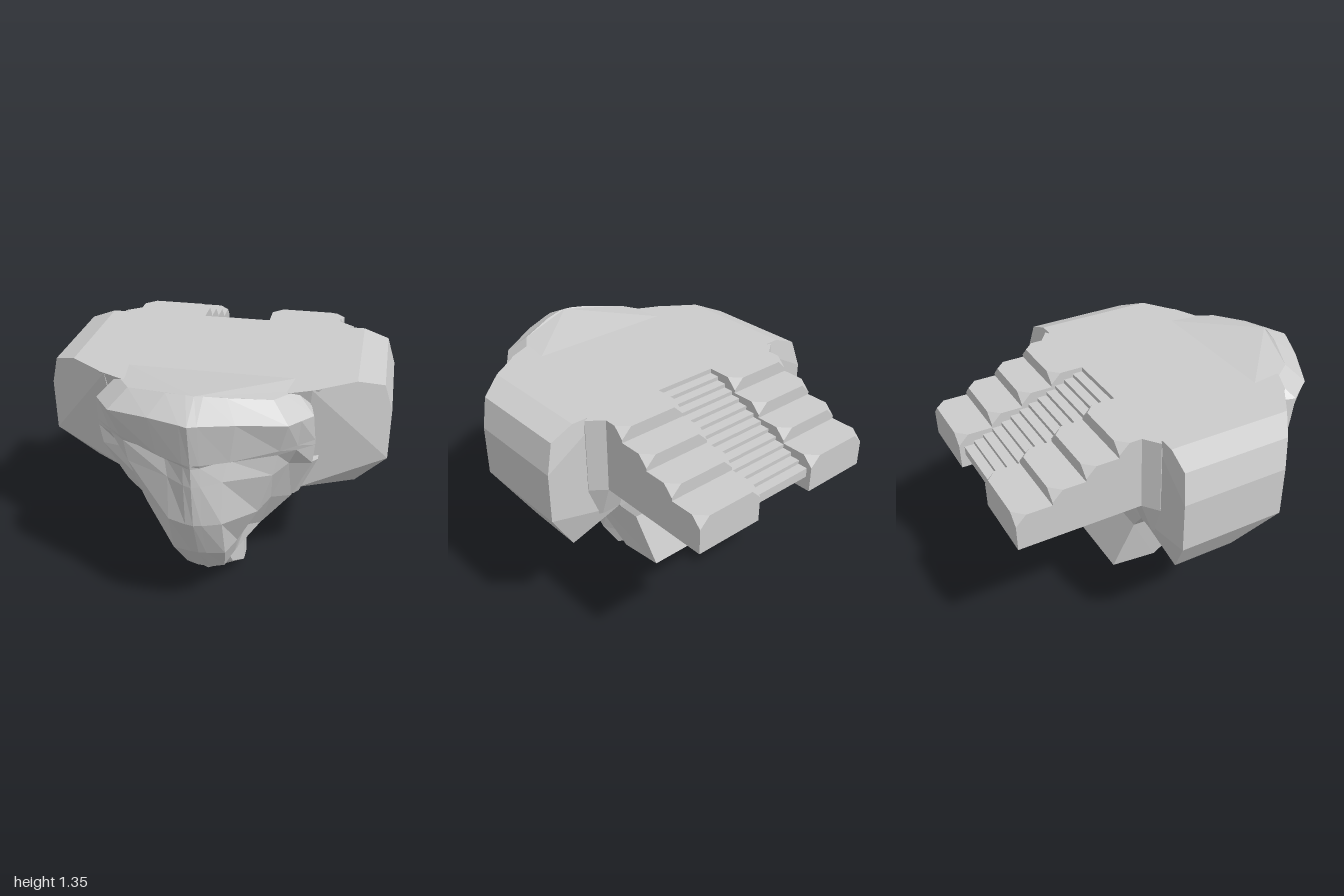
import * as THREE from 'three';
import { ConvexGeometry } from 'three/addons/geometries/ConvexGeometry.js';

const V = (x, y, z) => new THREE.Vector3(x, y, z);
const material = new THREE.MeshStandardMaterial({ color: 0xcccccc, flatShading: true });

// Skin between closed rings, listed top to bottom and counter-clockwise from above
function loft(rings) {
  const n = rings[0].length, last = (rings.length - 1) * n, index = [];
  for (let r = 0; r < rings.length - 1; r++) {
    for (let i = 0; i < n; i++) {
      const a = r * n + i, b = r * n + (i + 1) % n, c = b + n, d = a + n;
      index.push(a, d, c, a, c, b);
    }
  }
  for (let i = 1; i < n - 1; i++) {
    index.push(0, i, i + 1, last, last + i + 1, last + i);
  }
  const g = new THREE.BufferGeometry().setFromPoints(rings.flat());
  g.setIndex(index);
  const flat = g.toNonIndexed();
  flat.computeVertexNormals();
  return flat;
}

// Ring from a half outline (front centre first) mirrored across x
const mirrorRing = half => [
  ...half,
  ...half.slice().reverse().filter(p => p.x > 0).map(p => V(-p.x, p.y, p.z)),
];

export function createModel() {
  const model = new THREE.Group();
  model.name = 'carvedHeadPlatform';
  const body = new THREE.Group();
  body.name = 'body';
  body.rotation.y = -0.172;
  body.position.x = 0.01;
  model.add(body);

  const add = (name, geometry) => {
    const mesh = new THREE.Mesh(geometry, material);
    mesh.name = name;
    body.add(mesh);
    return mesh;
  };

  // Flat platform core; its back edge leaves a notch for the top stair
  const outline = [[0.62, -0.2], [0.62, 0.5], [0.53, 0.6], [0.4, 0.66]];
  const corePoints = [];
  for (const s of [-1, 1]) {
    for (const [x, z] of outline) {
      corePoints.push(V(s * x, 1.3, z), V(s * x * 0.9, 0.86, z > 0 ? z - 0.14 : z));
    }
  }
  add('platform', new ConvexGeometry(corePoints));

  // Faceted shoulders: one section swept in z, front end cut diagonally
  const section = [[0.5, 1.3], [0.7, 1.3], [0.83, 1.25], [0.875, 1.1], [0.875, 0.83], [0.72, 0.58], [0.45, 0.7]];
  for (const s of [-1, 1]) {
    const points = [];
    for (const [x, y] of section) {
      const low = Math.max(0, 0.83 - y), high = Math.max(0, y - 1.1);
      points.push(V(s * x, y, 0.36 + (0.875 - x) * 0.68 - low * 1.08));
      points.push(V(s * x, y, -0.215 + low * 0.25 + high * 0.15));
    }
    add(s > 0 ? 'leftShoulder' : 'rightShoulder', new ConvexGeometry(points));

    // Slanted fillet where the shoulder meets the stair block
    const fillet = [];
    for (const [y, z] of [[1.3, 0], [0.9, 0], [0.72, 0.06]]) {
      fillet.push(V(s * 0.45, y, -0.26 + z), V(s * 0.56, y, -0.26 + z), V(s * 0.64, y, -0.2 + z), V(s * 0.45, y, -0.12));
    }
    add('shoulderFillet', new ConvexGeometry(fillet));
  }

  // Neck: narrows downward, then flares to the rear [y, half width, front z, back z]
  const neck = [
    [0.9, 0.54, 0.58, -0.22],
    [0.68, 0.45, 0.54, -0.19],
    [0.53, 0.32, 0.37, -0.16],
    [0.23, 0.26, 0.03, -0.26],
  ].map(([y, w, f, b]) => mirrorRing([
    V(0, y, f), V(w * 0.95, y, f), V(w, y, f - 0.03), V(w * 0.97, y + 0.02, b),
  ]));
  add('neck', loft(neck));

  // Recessed throat between chin and neck
  const throat = [];
  for (const x of [-0.09, 0.09]) {
    throat.push(V(x, 0.6, 0.6), V(x, 0.25, 0.58), V(x, 0.27, 0.24), V(x, 0.6, 0.24));
  }
  add('throat', new ConvexGeometry(throat));

  // Face rows: [centre y, side droop, ridge z, nose x, z, cheek x, z, side x, z]
  const face = [
    [1.345, 0.05, 0.86, 0.14, 0.83, 0.34, 0.75, 0.43, 0.62],
    [1.27, 0.06, 1.015, 0.2, 0.935, 0.42, 0.83, 0.52, 0.69],
    [1.05, -0.02, 0.975, 0.17, 0.91, 0.38, 0.79, 0.53, 0.66],
    [1.03, -0.01, 0.97, 0.15, 0.86, 0.37, 0.78, 0.53, 0.655],
    [0.93, 0, 0.965, 0.13, 0.89, 0.35, 0.785, 0.52, 0.64],
    [0.7, 0, 0.94, 0.13, 0.9, 0.28, 0.76, 0.42, 0.59],
    [0.47, 0, 0.84, 0.13, 0.82, 0.17, 0.7, 0.26, 0.53],
    [0.27, -0.06, 0.69, 0.1, 0.68, 0.13, 0.63, 0.15, 0.58],
  ].map(([y, d, zr, nx, zn, cx, zc, sx, zs], row) => {
    const groove = row > 3 && row < 7 ? 0.05 : 0;
    return mirrorRing([
      V(0, y, zr),
      V(0.04, y, zr * 0.8 + zn * 0.2),
      V(nx, y - d * 0.2, zn),
      V(cx, y - d * 0.8, zc),
      V((cx + sx) / 2 - groove * 0.5, y - d * 0.9, (zc + zs) / 2 - groove),
      V(sx, y - d, zs),
      V(sx * 0.95, y - d * 0.9, zs - (row < 6 ? 0.12 : 0.06)),
    ]);
  });
  add('face', loft(face));

  // Chin beard curling back [outer z, outer y, inner z, inner y, outer half width, inner]
  const beard = [
    [0.78, 0.43, 0.52, 0.5, 0.11, 0.11],
    [0.63, 0.21, 0.55, 0.29, 0.13, 0.13],
    [0.39, 0.04, 0.28, 0.43, 0.15, 0.13],
    [0.25, 0.0, 0.02, 0.2, 0.14, 0.1],
  ].map(([zo, yo, zi, yi, wo, wi]) => mirrorRing([
    V(0, yo, zo), V(wo, yo + 0.05, zo - 0.02), V(wi, yi, zi),
  ]));
  add('chinBeard', loft(beard));

  // Stepped blocks beside the stairs, with their upper rear corners cut
  const c = 0.055, ends = [-0.38, -0.555, -0.73, -0.918];
  for (const s of [-1, 1]) {
    ends.forEach((zb, i) => {
      const h = 1.3 - i * 0.07, points = [];
      for (const [x, inward] of [[0.18, 1], [0.56, -1]]) {
        points.push(
          V(s * x, 0.9, -0.15), V(s * x, h, -0.15), V(s * x, 0.9, zb),
          V(s * x, h - c, zb), V(s * (x + inward * c), h, zb), V(s * x, h, zb + c),
        );
      }
      add(s > 0 ? 'leftStairBlock' : 'rightStairBlock', new ConvexGeometry(points));
    });
  }

  // Stair treads
  const treads = 13, depth = 0.053;
  for (let i = 0; i < treads; i++) {
    const tread = add('stairTread', new THREE.BoxGeometry(0.38, 0.05, depth + 0.006));
    tread.position.set(0, 1.25 - i * 0.021, -0.225 - i * depth);
  }

  return model;
}
